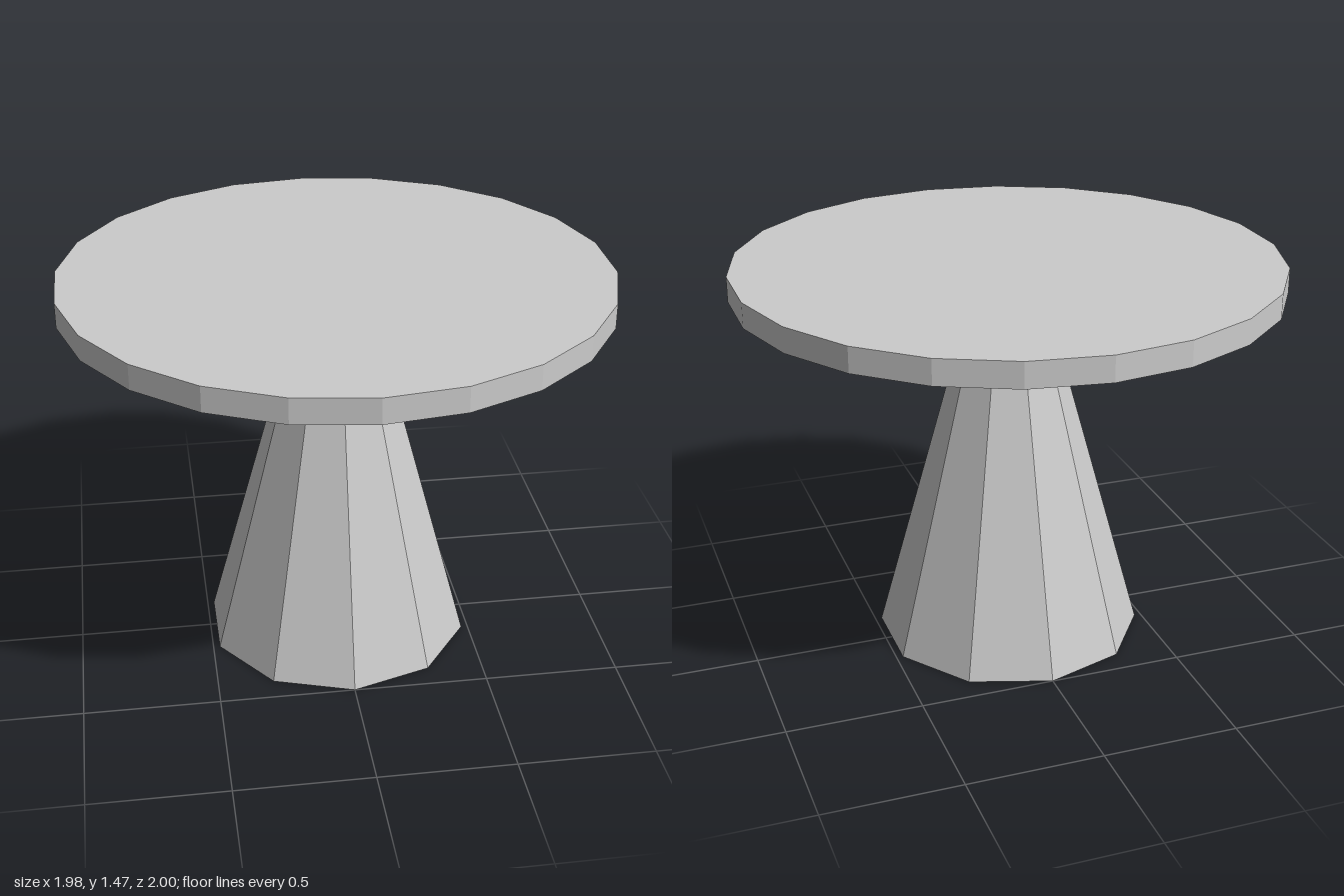
import * as THREE from 'three';

export function createModel() {
  const group = new THREE.Group();
  const material = new THREE.MeshStandardMaterial({ color: 0xcccccc, flatShading: true });

  // Faceted cylinder or cone standing between two heights
  function addColumn(name, topRadius, bottomRadius, bottom, top, sides) {
    const geometry = new THREE.CylinderGeometry(topRadius, bottomRadius, top - bottom, sides);
    const mesh = new THREE.Mesh(geometry, material);
    mesh.name = name;
    mesh.position.y = (bottom + top) / 2;
    group.add(mesh);
  }

  // Ten-sided tapered pedestal
  addColumn('pedestal', 0.122, 0.5, 0, 1.377, 10);

  // Thin round top with 22 sides
  addColumn('tableTop', 1, 1, 1.377, 1.469, 22);

  return group;
}
